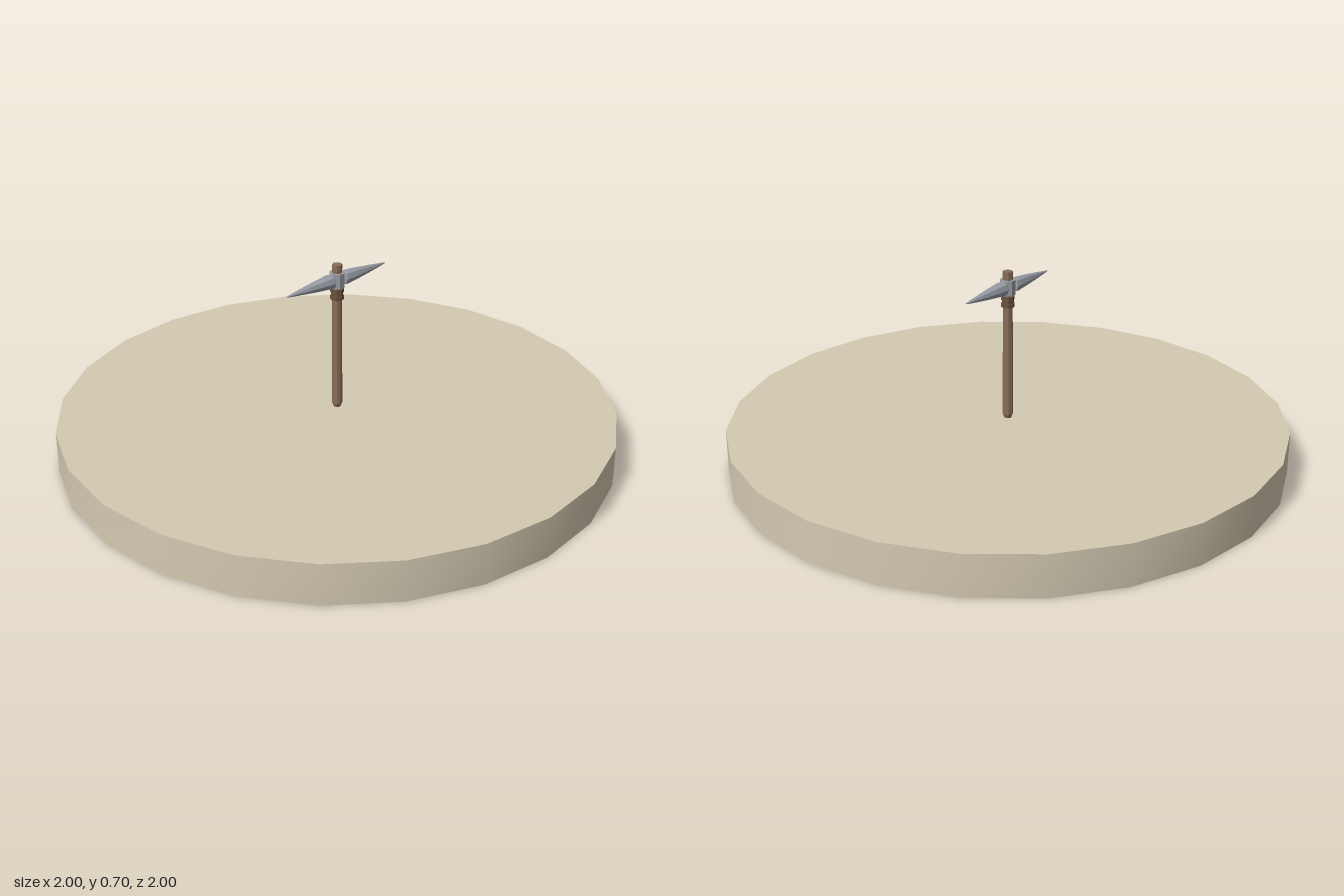
import * as THREE from 'three';
import { toCreasedNormals } from 'three/addons/utils/BufferGeometryUtils.js';

const mat = (name, color) => {
  const m = new THREE.MeshStandardMaterial({ color });
  m.name = name;
  return m;
};

export function createModel() {
  const sand = mat('sand', 0xd4cab2);
  const wood = mat('wood', 0x8a6f58);
  const leather = mat('leather', 0x6b513d);
  const steel = mat('steel', 0x9a9da6);

  const model = new THREE.Group();
  model.name = 'pickaxeOnBase';
  const add = (parent, name, geometry, material, y = 0) => {
    const mesh = new THREE.Mesh(toCreasedNormals(geometry, 0.35), material);
    mesh.name = name;
    mesh.position.y = y;
    parent.add(mesh);
    return mesh;
  };
  const lathe = (points, sides) =>
    new THREE.LatheGeometry(points.map(([r, y]) => new THREE.Vector2(r, y)), sides);

  // Round faceted ground disc
  add(model, 'base', new THREE.CylinderGeometry(1, 1, 0.15, 24), sand, 0.075);

  // Handle with a narrowed foot, running up through the head
  add(model, 'handle', lathe([
    [0, 0.15], [0.013, 0.15], [0.019, 0.165], [0.018, 0.4], [0.017, 0.6], [0.018, 0.7], [0, 0.7],
  ], 8), wood);

  // Bindings below the head
  for (const [y, r, h] of [[0.578, 0.024, 0.014], [0.591, 0.021, 0.012], [0.604, 0.024, 0.014]]) {
    add(model, 'binding', new THREE.CylinderGeometry(r, r, h, 8), leather, y);
  }

  // Steel head: an eye around the handle and two mirrored spikes
  const head = new THREE.Group();
  head.name = 'head';
  head.position.y = 0.643;
  model.add(head);
  add(head, 'eye', new THREE.CylinderGeometry(0.028, 0.028, 0.054, 8).rotateY(Math.PI / 8), steel);
  for (const side of [1, -1]) {
    const spike = lathe([
      [0, 0.02], [0.026, 0.026], [0.027, 0.034], [0.021, 0.09], [0.012, 0.16], [0.003, 0.22], [0, 0.23],
    ], 8).rotateX(side * Math.PI / 2);
    add(head, 'spike', spike, steel);
  }
  return model;
}
